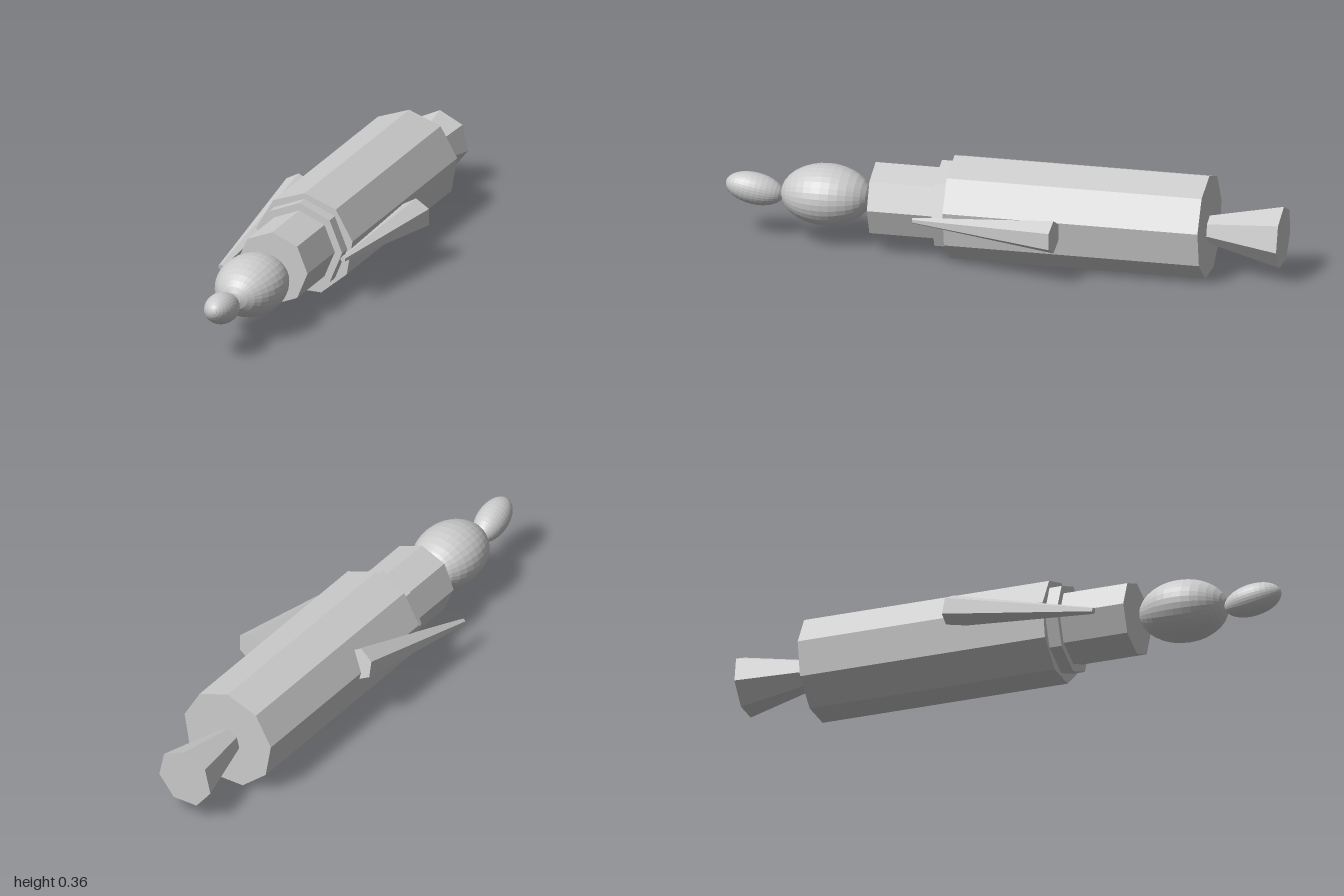
import * as THREE from 'three';

const material = new THREE.MeshStandardMaterial({ color: 0xcccccc, flatShading: true });
const CX = -0.03; // shared axis of the body

// Capped tapered prism running from its rear point to its front point, one corner upwards
function prism(name, sides, rearRadius, frontRadius, rear, front) {
  const a = new THREE.Vector3(...rear);
  const b = new THREE.Vector3(...front);
  const geometry = new THREE.CylinderGeometry(rearRadius, frontRadius, a.distanceTo(b), sides);
  geometry.rotateX(-Math.PI / 2);
  const mesh = new THREE.Mesh(geometry, material);
  mesh.name = name;
  mesh.position.addVectors(a, b).multiplyScalar(0.5);
  mesh.lookAt(b);
  return mesh;
}

// Ellipsoid with its poles along its own z axis, turned to face a direction
function ellipsoid(name, radii, center, facing) {
  const geometry = new THREE.SphereGeometry(1, 32, 16);
  geometry.rotateX(Math.PI / 2);
  geometry.scale(...radii);
  const mesh = new THREE.Mesh(geometry, material);
  mesh.name = name;
  mesh.position.set(...center);
  mesh.lookAt(mesh.position.clone().add(new THREE.Vector3(...facing)));
  return mesh;
}

export function createModel() {
  const model = new THREE.Group();
  model.name = 'model';
  model.add(
    // Main tube, collar and neck
    prism('body', 9, 0.1856, 0.1856, [CX, 0.1745, -0.735], [CX, 0.1745, 0.18]),
    prism('collar', 8, 0.163, 0.163, [CX, 0.176, 0.17], [CX, 0.176, 0.225]),
    prism('neck', 8, 0.135, 0.135, [CX, 0.176, 0.215], [CX, 0.176, 0.463]),

    // Head and upturned nose
    ellipsoid('head', [0.124, 0.108, 0.161], [CX, 0.176, 0.639], [0, 0, 1]),
    ellipsoid('nose', [0.057, 0.056, 0.104], [-0.032, 0.176, 0.897], [0.1, 0.22, 1]),

    // Flared tail
    prism('tail', 7, 0.111, 0.05, [CX, 0.157, -1], [CX, 0.163, -0.735]),

    // Side fins, each tapering to the front
    prism('leftFin', 6, 0.06, 0.01, [0.215, 0.177, -0.233], [0.162, 0.177, 0.285]),
    prism('rightFin', 6, 0.06, 0.012, [-0.199, 0.235, -0.171], [-0.257, 0.12, 0.387])
  );
  return model;
}
